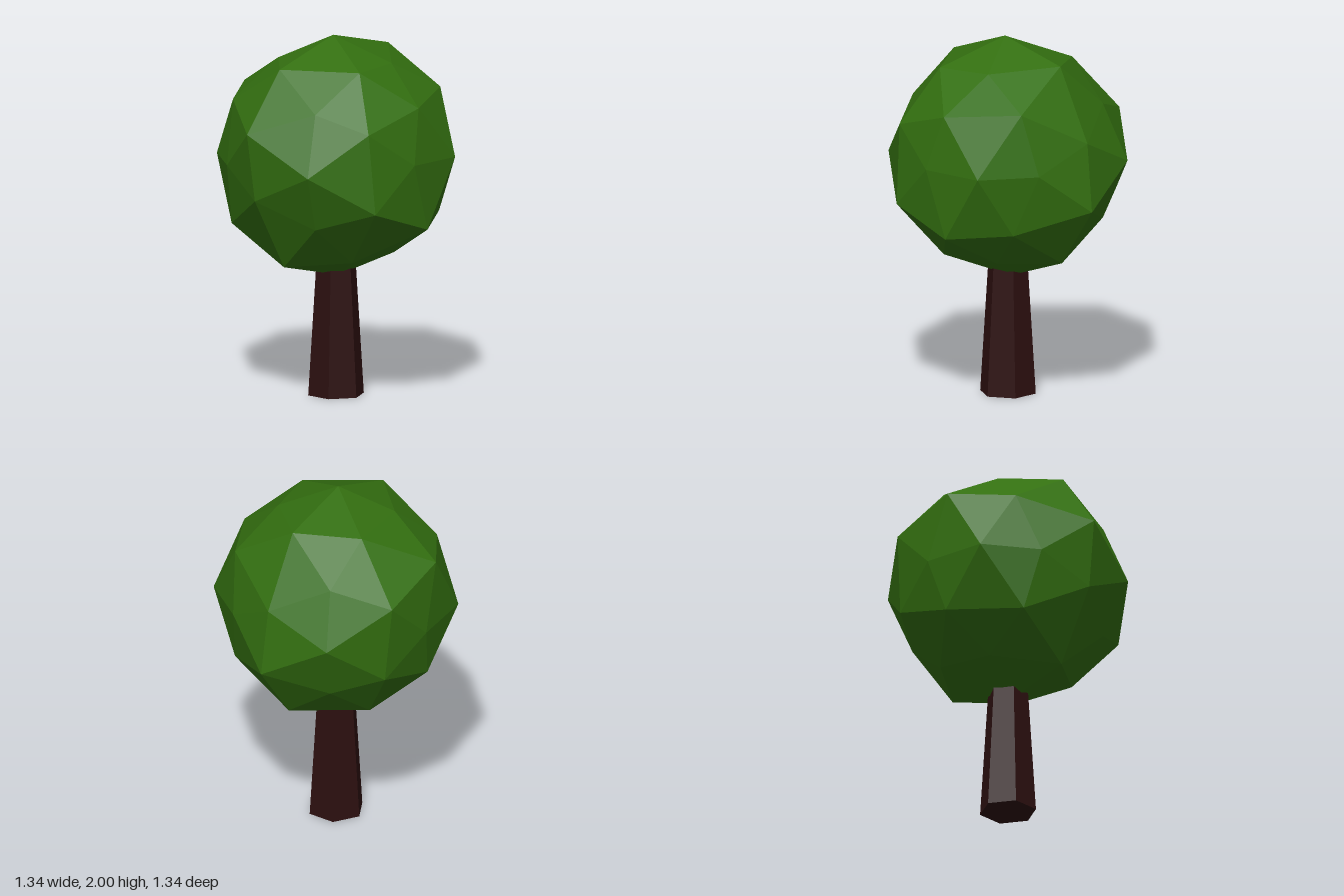
import * as THREE from 'three';

// Pulls each vertex of a once-divided icosahedron to a slightly irregular spot.
// The rule repeats over the three axes and is mirrored through the centre.
function facetPoint(p) {
  const c = p.toArray();
  const a = [0, 1, 2].reduce((best, i) => (Math.abs(c[i]) > Math.abs(c[best]) ? i : best), 0);
  const s = Math.sign(c[a]);
  const d = c[a] * s, u = c[(a + 1) % 3] * s, v = c[(a + 2) % 3] * s;
  let q;
  if (d > 0.95) q = [0.67, 0.02, -0.01];                                    // axis tips
  else if (Math.abs(u) < 0.1) q = [0.53, 0.025, 0.32 * Math.sign(v)];       // five-sided corners
  else if (u > 0) q = v > 0 ? [0.525, 0.325, 0.22] : [0.53, 0.365, -0.22];  // edge middles
  else q = v > 0 ? [0.57, -0.35, 0.2] : [0.535, -0.315, -0.175];
  const out = [0, 0, 0];
  q.forEach((value, i) => { out[(a + i) % 3] = value * s; });
  return p.fromArray(out);
}

export function createModel() {
  const model = new THREE.Group();
  model.name = 'tree';

  const leafGreen = new THREE.MeshStandardMaterial({ color: 0x336f10, flatShading: true });
  leafGreen.name = 'leaf green';
  const barkBrown = new THREE.MeshStandardMaterial({ color: 0x2d1010, flatShading: true });
  barkBrown.name = 'bark brown';

  // Faceted ball of leaves
  const ball = new THREE.IcosahedronGeometry(1, 1);
  const pos = ball.attributes.position;
  const p = new THREE.Vector3();
  for (let i = 0; i < pos.count; i++) {
    facetPoint(p.fromBufferAttribute(pos, i));
    pos.setXYZ(i, p.x, p.y, p.z);
  }
  ball.computeVertexNormals();
  const canopy = new THREE.Mesh(ball, leafGreen);
  canopy.name = 'canopy';
  canopy.position.y = 1.33;

  // Tapered six-sided trunk, its top hidden in the leaves
  const trunk = new THREE.Mesh(new THREE.CylinderGeometry(0.107, 0.157, 0.8, 6), barkBrown);
  trunk.name = 'trunk';
  trunk.position.y = 0.4;

  model.add(canopy, trunk);
  return model;
}
